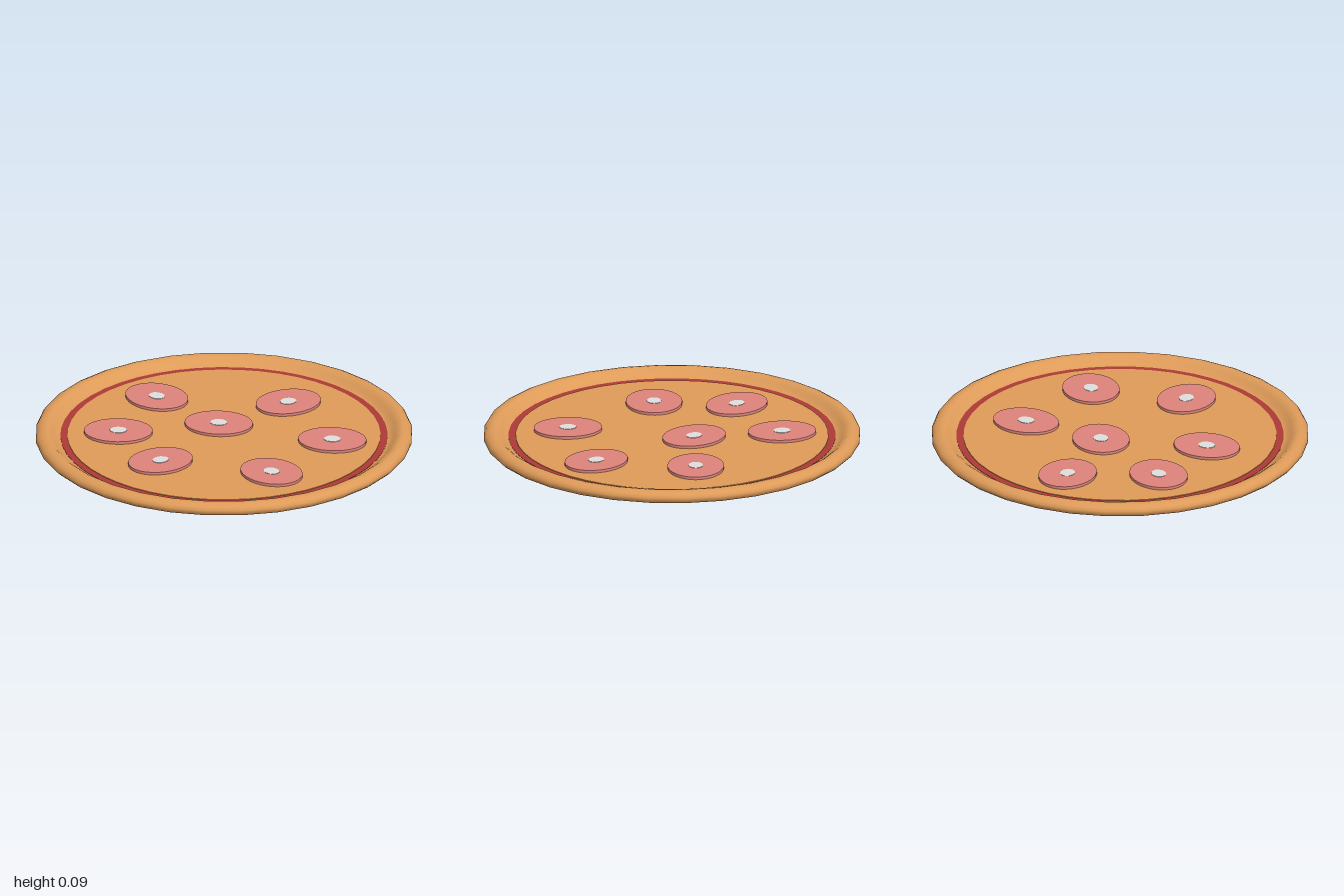
import * as THREE from 'three';

const crustMat = new THREE.MeshStandardMaterial({ name: 'baked crust', color: 0xde9b59 });
const sauceMat = new THREE.MeshStandardMaterial({ name: 'tomato red', color: 0xac3a35 });
const meatMat = new THREE.MeshStandardMaterial({ name: 'sausage pink', color: 0xdd837c });
const fatMat = new THREE.MeshStandardMaterial({ name: 'pale centre', color: 0xdedede });

function add(parent, name, geometry, material, y = 0) {
  const mesh = new THREE.Mesh(geometry, material);
  mesh.name = name;
  mesh.position.y = y;
  parent.add(mesh);
  return mesh;
}

// Oval slice with a pale spot in the middle
function createSlice(x, z, angle) {
  const slice = new THREE.Group();
  slice.name = 'sausageSlice';
  add(slice, 'sliceDisc', new THREE.CylinderGeometry(1, 1, 0.016, 32), meatMat).scale.set(0.182, 1, 0.15);
  add(slice, 'sliceCentre', new THREE.CylinderGeometry(1, 1, 0.004, 12), fatMat, 0.008).scale.set(0.046, 1, 0.039);
  slice.position.set(x, 0.059, z);
  slice.rotation.y = angle;
  return slice;
}

export function createModel() {
  const pizza = new THREE.Group();
  pizza.name = 'pizza';

  // Dough: slightly domed underside, rounded rim, sunken floor
  const profile = [
    [0, 0], [0.6, 0.005], [0.85, 0.012], [0.95, 0.02], [0.985, 0.03], [1, 0.045], [1, 0.062],
    [0.99, 0.078], [0.97, 0.088], [0.95, 0.092], [0.93, 0.088], [0.91, 0.073],
    [0.89, 0.055], [0.87, 0.047], [0.84, 0.045], [0, 0.045],
  ].map(([r, y]) => new THREE.Vector2(r, y));
  add(pizza, 'crust', new THREE.LatheGeometry(profile, 32), crustMat);

  // Sauce shows as a thin ring around the cheese
  add(pizza, 'sauce', new THREE.CylinderGeometry(0.868, 0.868, 0.006, 48), sauceMat, 0.046);
  add(pizza, 'cheese', new THREE.CylinderGeometry(0.83, 0.83, 0.006, 48), crustMat, 0.049);

  // Toppings: x, z, turn
  const slices = [
    [-0.04, -0.12, -0.1], [-0.56, 0.03, 0.05], [0.58, 0.03, -0.1],
    [-0.4, -0.425, -0.7], [0.3, -0.425, 0.7],
    [-0.3, 0.385, 0.75], [0.3, 0.47, -0.75],
  ];
  for (const [x, z, angle] of slices) pizza.add(createSlice(x, z, angle));

  return pizza;
}
